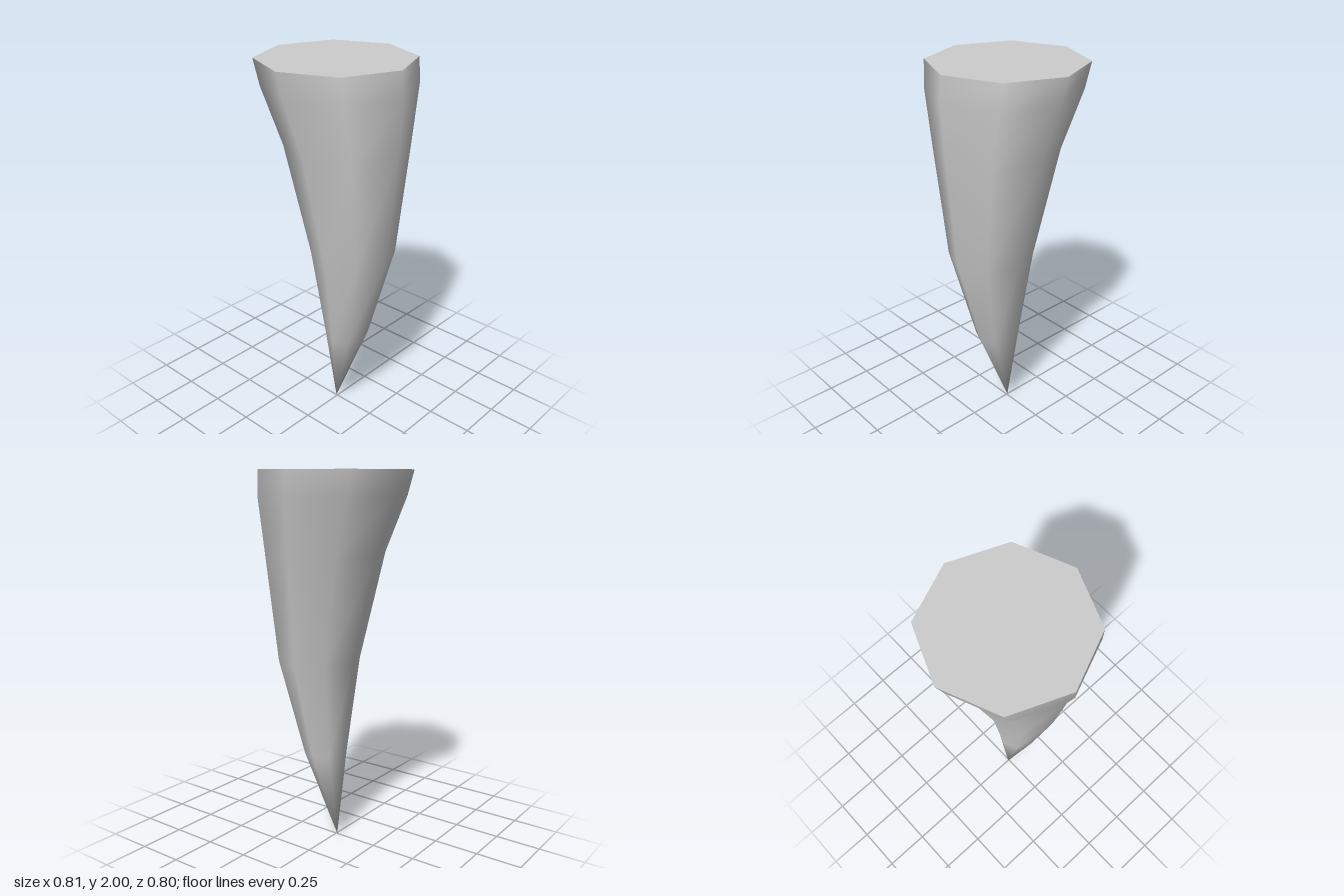
import * as THREE from 'three';

const SIDES = 8;
// Rings from the bottom up: height, centre x, half width in x, half depth in z
const RINGS = [
  [0.48, 0.073, 0.118, 0.118],
  [1.0, 0.113, 0.222, 0.222],
  [1.58, 0.068, 0.318, 0.318],
  [1.87, 0.018, 0.387, 0.387],
  [2.0, -0.006, 0.4, 0.4],
];

// Curved eight-sided spike, smooth, with all sides sharing one tip vertex
function spikeGeometry() {
  const positions = [-0.006, 0, 0];
  const index = [];
  RINGS.forEach(([y, cx, rx, rz], r) => {
    for (let i = 0; i < SIDES; i++) {
      const a = (i / SIDES) * Math.PI * 2;
      positions.push(cx + rx * Math.cos(a), y, rz * Math.sin(a));
      const next = (i + 1) % SIDES;
      const p = 1 + r * SIDES + i;
      const q = 1 + r * SIDES + next;
      if (r === 0) index.push(0, p, q);
      else index.push(p - SIDES, p, q - SIDES, q - SIDES, p, q);
    }
  });
  const geometry = new THREE.BufferGeometry();
  geometry.setAttribute('position', new THREE.Float32BufferAttribute(positions, 3));
  geometry.setIndex(index);
  geometry.computeVertexNormals();
  return geometry;
}

export function createModel() {
  const group = new THREE.Group();
  group.name = 'curvedSpike';
  const grey = new THREE.MeshStandardMaterial({ color: 0xcccccc });
  grey.name = 'light grey';

  const spike = new THREE.Mesh(spikeGeometry(), grey);
  spike.name = 'spikeBody';

  // Flat octagonal top
  const [y, cx, r] = RINGS[RINGS.length - 1];
  const cap = new THREE.Mesh(new THREE.CircleGeometry(r, SIDES).rotateX(-Math.PI / 2), grey);
  cap.position.set(cx, y, 0);
  cap.name = 'topCap';

  group.add(spike, cap);
  return group;
}
